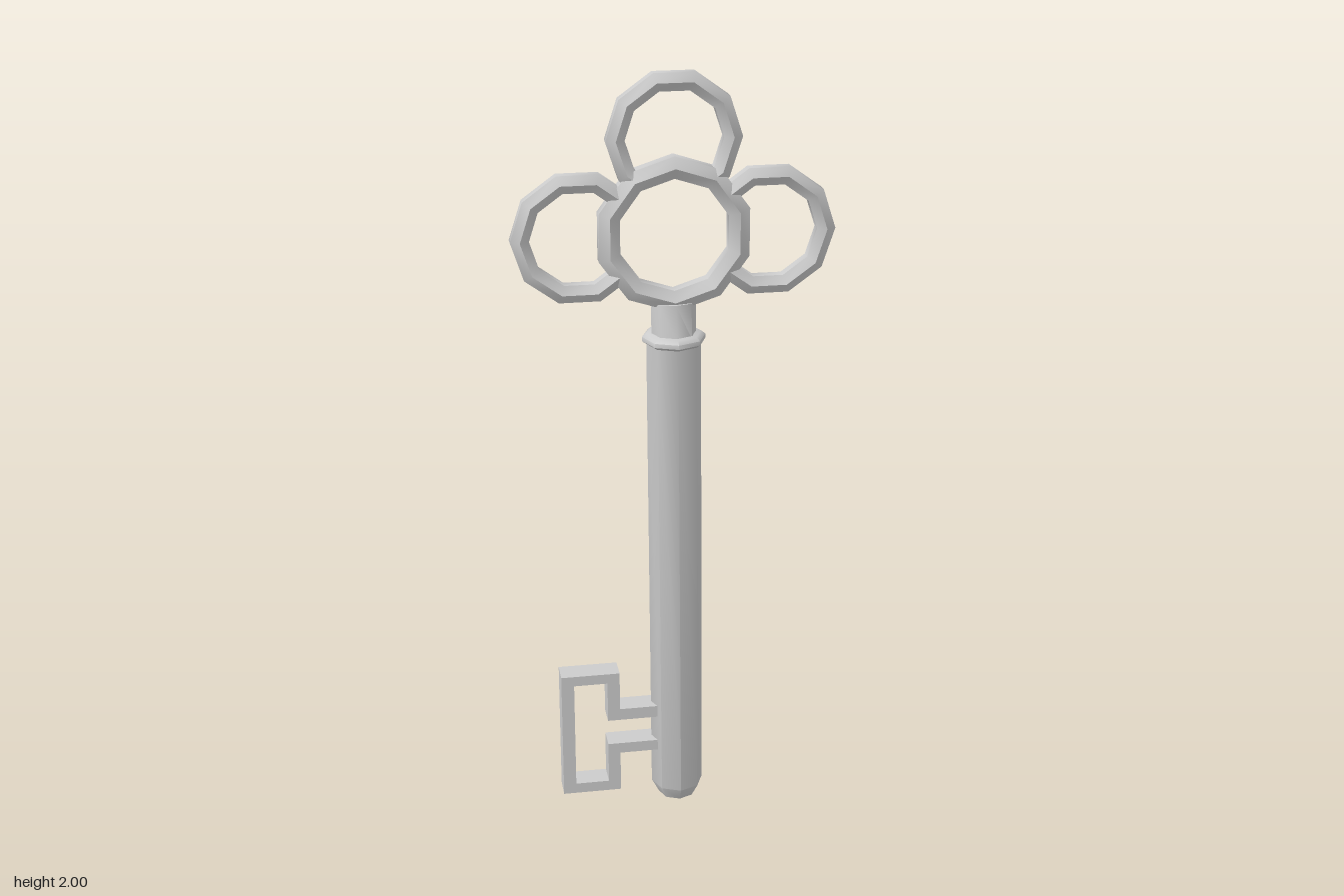
import * as THREE from 'three';
import { toCreasedNormals } from 'three/addons/utils/BufferGeometryUtils.js';

const material = new THREE.MeshStandardMaterial({ color: 0xcccccc });
const rad = THREE.MathUtils.degToRad;

function part(name, geometry, crease = 50) {
  const mesh = new THREE.Mesh(toCreasedNormals(geometry, rad(crease)), material);
  mesh.name = name;
  return mesh;
}

// Octagonal turned piece from [radius, height] pairs, bottom to top
function turned(profile) {
  return new THREE.LatheGeometry(profile.map(([r, y]) => new THREE.Vector2(r, y)), 8);
}

// Move every vertex by a rule
function reshape(geometry, rule) {
  const p = geometry.attributes.position;
  const v = new THREE.Vector3();
  for (let i = 0; i < p.count; i++) {
    v.fromBufferAttribute(p, i);
    rule(v);
    p.setXYZ(i, v.x, v.y, v.z);
  }
  return geometry;
}

// Ten-sided ring of hexagonal bar, swept through angles (degrees).
// Angles between corners stay on the straight sides; corner is one corner's angle.
function hexRing(R, r, angles, corner) {
  const pos = [], index = [];
  for (const deg of angles) {
    const local = (((deg - corner) % 36) + 36) % 36;
    const k = Math.cos(rad(18)) / Math.cos(rad(local - 18));
    const a = rad(deg);
    for (let j = 0; j < 6; j++) {
      const b = rad(30 + 60 * j);
      const d = (R + r * Math.cos(b)) * k;
      pos.push(d * Math.cos(a), d * Math.sin(a), r * Math.sin(b));
    }
  }
  for (let i = 0; i < angles.length - 1; i++) {
    for (let j = 0; j < 6; j++) {
      const a = i * 6 + j, b = i * 6 + (j + 1) % 6;
      index.push(a, a + 6, b + 6, a, b + 6, b);
    }
  }
  const g = new THREE.BufferGeometry();
  g.setAttribute('position', new THREE.Float32BufferAttribute(pos, 3));
  g.setIndex(index);
  return g;
}

export function createModel() {
  const key = new THREE.Group();
  key.name = 'key';

  // Shaft with chamfered tip, leaning very slightly
  const shaft = turned([[0, 0], [0.05, 0], [0.07, 0.038], [0.07, 1.33], [0, 1.33]]);
  key.add(part('shaft', reshape(shaft, v => { v.x += 0.009 * (1 - v.y / 1.33); })));

  // Collar
  key.add(part('collar', turned([
    [0, 1.317], [0.07, 1.317], [0.081, 1.325], [0.081, 1.336], [0.07, 1.345], [0, 1.345],
  ])));

  // Neck, thinning front to back as it rises
  const neck = turned([[0, 1.335], [0.057, 1.335], [0.057, 1.425], [0, 1.425]]);
  key.add(part('neck', reshape(neck, v => {
    v.z *= THREE.MathUtils.mapLinear(v.y, 1.335, 1.425, 1.03, 0.63);
  })));

  // Bow: central ring with three loops
  const bow = new THREE.Group();
  bow.name = 'bow';
  bow.position.y = 1.6;
  const full = Array.from({ length: 11 }, (_, i) => 90 + 36 * i);
  bow.add(part('centralRing', hexRing(0.17, 0.032, full, 90)));

  const sideAngles = [-140, -108, -72, -36, 0, 36, 72, 108, 140];
  const topAngles = [-50, -36, 0, 36, 72, 108, 144, 180, 216, 230];
  const top = part('topLoop', hexRing(0.145, 0.027, topAngles, 0));
  top.position.y = 0.24;
  bow.add(top);
  for (const side of [1, -1]) {
    const loop = part(side > 0 ? 'leftLoop' : 'rightLoop', hexRing(0.145, 0.027, sideAngles, 0));
    loop.position.x = side * 0.237;
    if (side < 0) loop.rotation.z = Math.PI;
    bow.add(loop);
  }
  key.add(bow);

  // Bit: open bracket-shaped frame with two arms into the shaft
  const outline = [
    [-0.04, 0.255], [-0.04, 0.288], [-0.152, 0.288], [-0.152, 0.398], [-0.309, 0.398], [-0.309, 0.037],
    [-0.152, 0.037], [-0.152, 0.152], [-0.04, 0.152], [-0.04, 0.182], [-0.185, 0.182], [-0.185, 0.066],
    [-0.275, 0.066], [-0.275, 0.37], [-0.185, 0.37], [-0.185, 0.255],
  ];
  const bitShape = new THREE.Shape(outline.map(([x, y]) => new THREE.Vector2(x, y)));
  const bit = new THREE.ExtrudeGeometry(bitShape, { depth: 0.062, bevelEnabled: false });
  bit.translate(0, 0, -0.031);
  key.add(part('bit', bit));

  return key;
}
